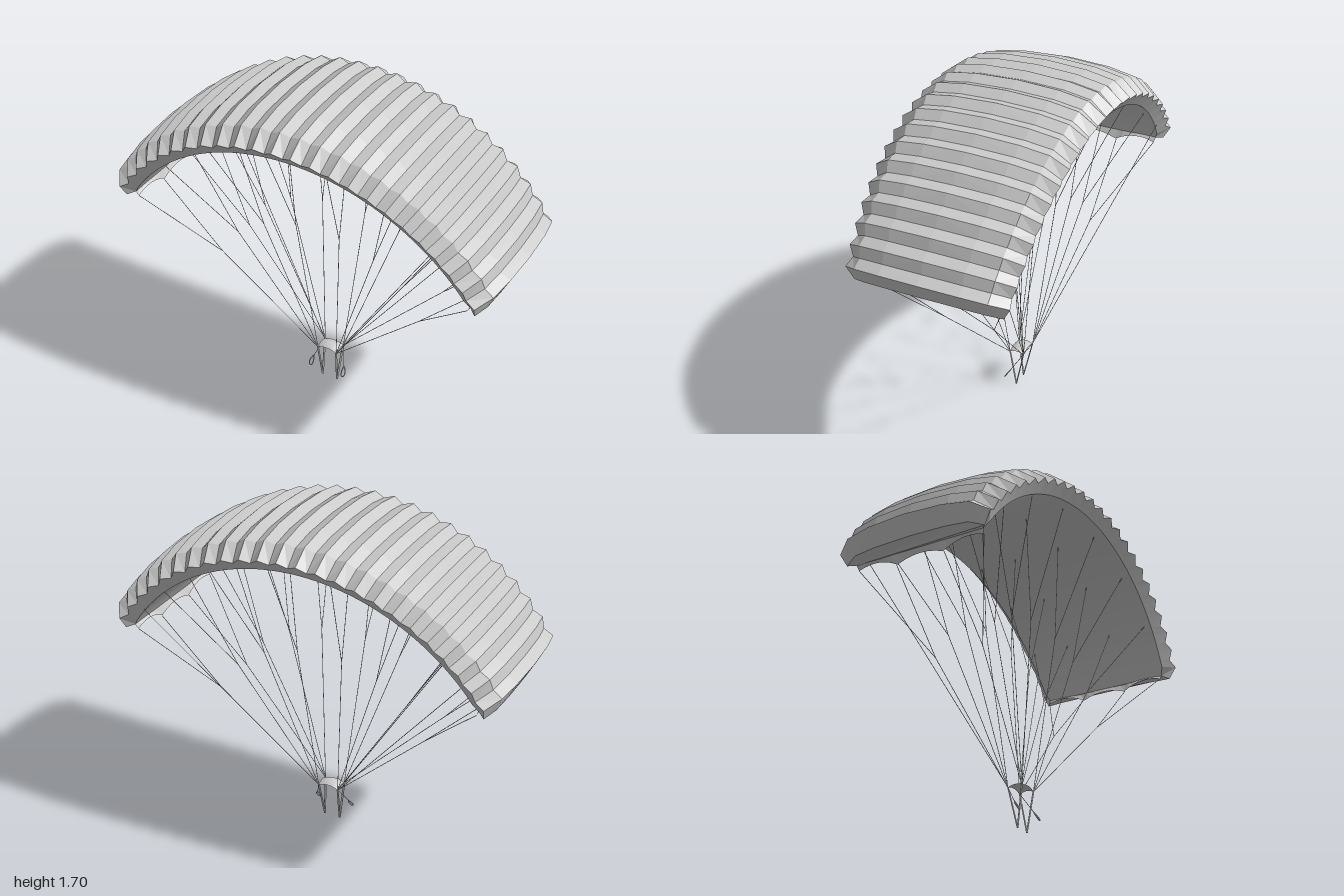
import * as THREE from 'three';

const CELLS = 24, SPAN = THREE.MathUtils.degToRad(59);
const CY = 0.487, R_IN = 1.053; // centre and radius of the underside arc
const V = (x, y, z) => new THREE.Vector3(x, y, z);

// Half of the cell profile, edge to crown: [z, valley radius, ridge radius, extra ridge z]
const HALF = [
  [0.385, R_IN, R_IN, 0],
  [0.42, 1.095, 1.118, 0.018],
  [0.345, 1.162, 1.182, 0.008],
  [0.21, 1.184, 1.206, 0],
  [0, 1.192, 1.216, 0],
];
const PROFILE = [
  ...HALF.map(([z, v, r, e]) => [-z, v, r, -e]),
  ...HALF.slice(0, -1).reverse(),
];
const ROWS = PROFILE.length, MID = HALF.length - 1;

function canopyPoint(i, j) {
  const t = i / CELLS - 1; // -1..1 over 2 * CELLS columns
  const ridge = i % 2 === 1, tip = Math.abs(t) === 1;
  const [z, rv, rr, ez] = PROFILE[j];
  let r = ridge ? rr : rv;
  if (tip) r = R_IN + (r - R_IN) * 0.55;
  const a = t * SPAN * (j === 0 || j === ROWS - 1 ? 0.975 : 1);
  const chord = (1 - 0.1 * t * t) * (tip ? 0.96 : 1);
  return V(Math.sin(a) * r, CY + Math.cos(a) * r, (z + (ridge ? ez : 0)) * chord);
}

function meshFromPoints(name, points, material) {
  const geo = new THREE.BufferGeometry().setFromPoints(points);
  geo.computeVertexNormals();
  const mesh = new THREE.Mesh(geo, material);
  mesh.name = name;
  return mesh;
}

function buildCanopy(material) {
  const pts = [], tri = (...p) => pts.push(...p);
  for (let i = 0; i < 2 * CELLS; i++) {
    for (let j = 0; j < ROWS; j++) {
      const k = (j + 1) % ROWS;
      const a = canopyPoint(i, j), b = canopyPoint(i, k);
      const c = canopyPoint(i + 1, k), d = canopyPoint(i + 1, j);
      // facets fan out towards the ridge at the nose and tail
      if ((i % 2 === 0) === (j < MID)) tri(a, b, c, a, c, d);
      else tri(a, b, d, b, c, d);
    }
  }
  // closed wing tips
  for (let j = 1; j < ROWS - 1; j++) {
    const e = 2 * CELLS;
    tri(canopyPoint(e, 0), canopyPoint(e, j), canopyPoint(e, j + 1));
    tri(canopyPoint(0, 0), canopyPoint(0, j + 1), canopyPoint(0, j));
  }
  return meshFromPoints('canopy', pts, material);
}

// Hanging tip panel with a scalloped lower edge
function buildStabiliser(side, material) {
  const hang = [-0.33, -0.12, 0.12, 0.33], low = [1.03, 1.005, 1.005, 1.03], edge = [];
  for (let s = 0; s < 3; s++) {
    for (let k = s ? 1 : 0; k <= 6; k++) {
      const u = k / 6, lift = 0.026 * 4 * u * (1 - u);
      edge.push([
        THREE.MathUtils.lerp(hang[s], hang[s + 1], u),
        THREE.MathUtils.lerp(low[s], low[s + 1], u) + lift,
      ]);
    }
  }
  const pts = [];
  for (let k = 0; k < edge.length - 1; k++) {
    const [z0, y0] = edge[k], [z1, y1] = edge[k + 1];
    const a = V(side * 0.895, 1.065, z0 * 1.03), b = V(side * 0.895, 1.065, z1 * 1.03);
    const c = V(side * 0.875, y1, z1), d = V(side * 0.875, y0, z0);
    pts.push(a, b, c, a, c, d);
  }
  return meshFromPoints('tipStabiliser', pts, material);
}

// Straight round cord between two points
function cord(name, a, b, radius, material) {
  const dir = b.clone().sub(a);
  const mesh = new THREE.Mesh(new THREE.CylinderGeometry(radius, radius, dir.length(), 5), material);
  mesh.name = name;
  mesh.position.copy(a).addScaledVector(dir, 0.5);
  mesh.quaternion.setFromUnitVectors(V(0, 1, 0), dir.normalize());
  return mesh;
}

function buildRigging(side, material) {
  const g = new THREE.Group();
  g.name = side > 0 ? 'leftRigging' : 'rightRigging';
  const LINE = 0.0016;
  const anchors = [0.16, 0.46, 0.71].map(x => [x, CY + Math.sqrt(R_IN * R_IN - x * x)]);
  anchors.push([0.875, 1.005]);

  // suspension lines, each forking into two branches
  for (const [x, y] of anchors) {
    for (const f of [1, -1]) {
      const base = V(side * 0.053, 0.2, f * 0.037);
      const fork = V(side * THREE.MathUtils.lerp(0.053, x, 0.6), THREE.MathUtils.lerp(0.2, y, 0.6), f * 0.125);
      g.add(cord('suspensionLine', base, fork, LINE, material));
      g.add(cord('lineBranch', fork, V(side * x, y, f * 0.125), LINE, material));
      const outerY = x > 0.8 ? 1.03 : y;
      g.add(cord('lineBranch', fork, V(side * x, outerY, f * 0.33), LINE, material));
    }
  }
  // brake line to the trailing edge
  const ring = V(side * 0.055, 0.2, -0.035);
  g.add(cord('brakeLine', ring, V(side * 0.81, 1.165, -0.365), LINE, material));

  // riser straps meeting at the bottom
  for (const f of [1, -1]) {
    const strap = cord('riser', V(side * 0.042, 0.003, 0.008), V(side * 0.053, 0.203, f * 0.037), 0.004, material);
    strap.scale.set(1.5, 1, 0.7);
    g.add(strap);
  }

  // steering toggle: cord and teardrop loop
  const top = V(side * 0.088, 0.115, 0.018);
  g.add(cord('toggleCord', ring, top, LINE, material));
  const loop = new THREE.CatmullRomCurve3([
    top, V(side * 0.103, 0.088, 0.036), V(side * 0.098, 0.072, 0.046),
    V(side * 0.087, 0.072, 0.046), V(side * 0.083, 0.088, 0.036),
  ], true);
  const toggle = new THREE.Mesh(new THREE.TubeGeometry(loop, 20, 0.003, 5, true), material);
  toggle.name = 'steeringToggle';
  g.add(toggle);
  return g;
}

// Small arched cloth where the lines gather
function buildSlider(material) {
  const geo = new THREE.PlaneGeometry(0.11, 0.076, 8, 6).rotateX(-Math.PI / 2);
  const p = geo.attributes.position;
  for (let i = 0; i < p.count; i++) {
    const u = p.getX(i) / 0.055, w = p.getZ(i) / 0.038;
    p.setY(i, 0.2 + 0.026 * (1 - u * u) * (1 - 0.45 * w * w) + 0.012 * (1 - w * w) * u * u);
  }
  geo.computeVertexNormals();
  const mesh = new THREE.Mesh(geo, material);
  mesh.name = 'slider';
  return mesh;
}

export function createModel() {
  const group = new THREE.Group();
  group.name = 'parachute';
  const cloth = new THREE.MeshStandardMaterial({ color: 0xcccccc, flatShading: true, side: THREE.DoubleSide });
  const rope = new THREE.MeshStandardMaterial({ color: 0xcccccc });
  group.add(buildCanopy(cloth), buildSlider(cloth));
  for (const side of [1, -1]) group.add(buildStabiliser(side, cloth), buildRigging(side, rope));
  return group;
}
